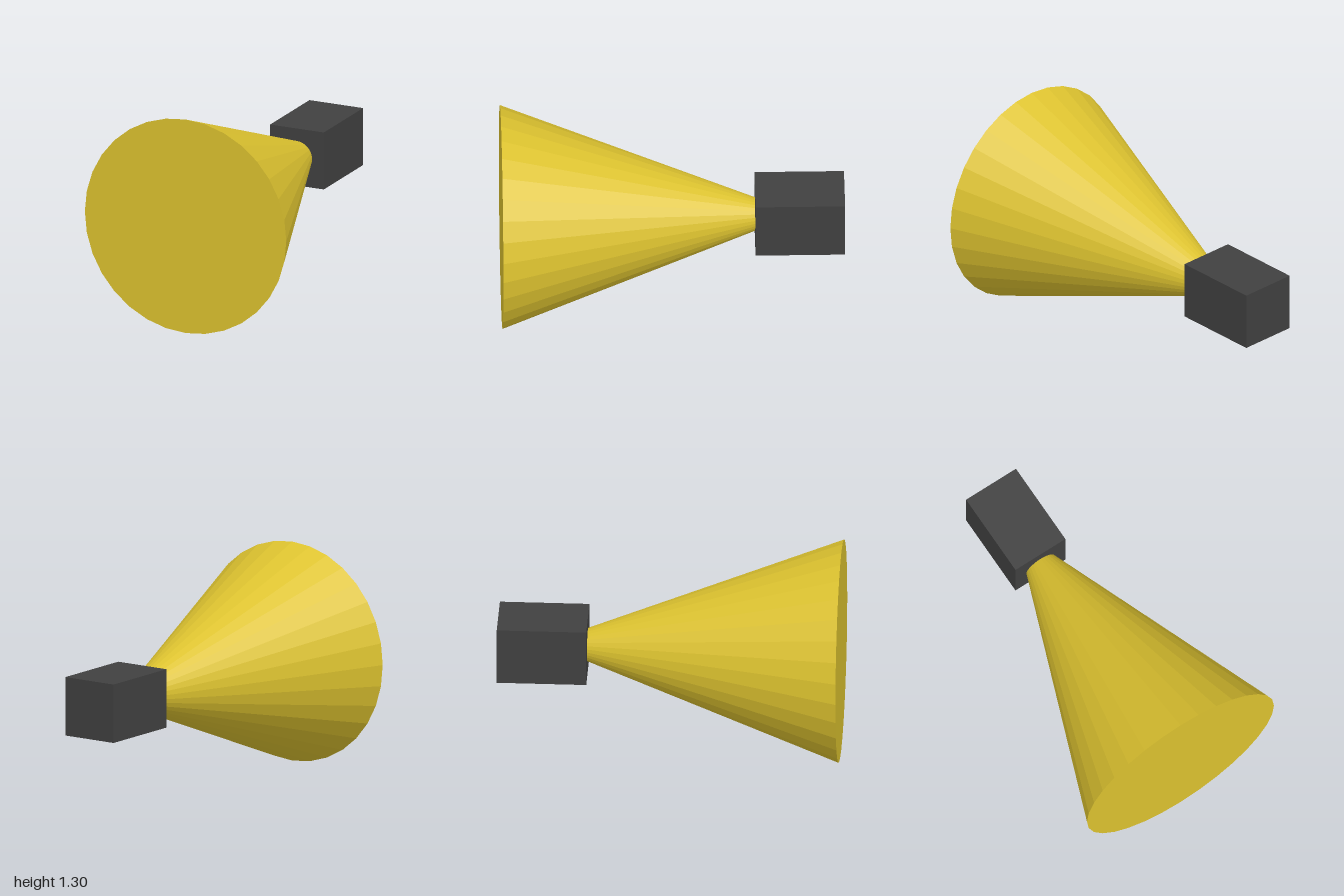
import * as THREE from 'three';

export function createModel() {
  const group = new THREE.Group();
  const axisY = 0.6525; // height of the shared centre line
  const boxZ = -0.739; // box centre, where the cone's tip lies
  const radius = 0.6525;
  const length = 1 - boxZ;

  // Wide closed cone, opening to the front with its tip inside the box
  const cone = new THREE.Mesh(
    new THREE.ConeGeometry(radius, length, 32).rotateX(-Math.PI / 2),
    new THREE.MeshStandardMaterial({ color: 0xdcc22f, flatShading: true })
  );
  cone.name = 'cone';
  cone.position.set(0, axisY, boxZ + length / 2);
  group.add(cone);

  // Dark rear housing
  const housing = new THREE.Mesh(
    new THREE.BoxGeometry(0.348, 0.348, 0.522),
    new THREE.MeshStandardMaterial({ color: 0x404040 })
  );
  housing.name = 'housing';
  housing.position.set(0, axisY, boxZ);
  group.add(housing);

  return group;
}
